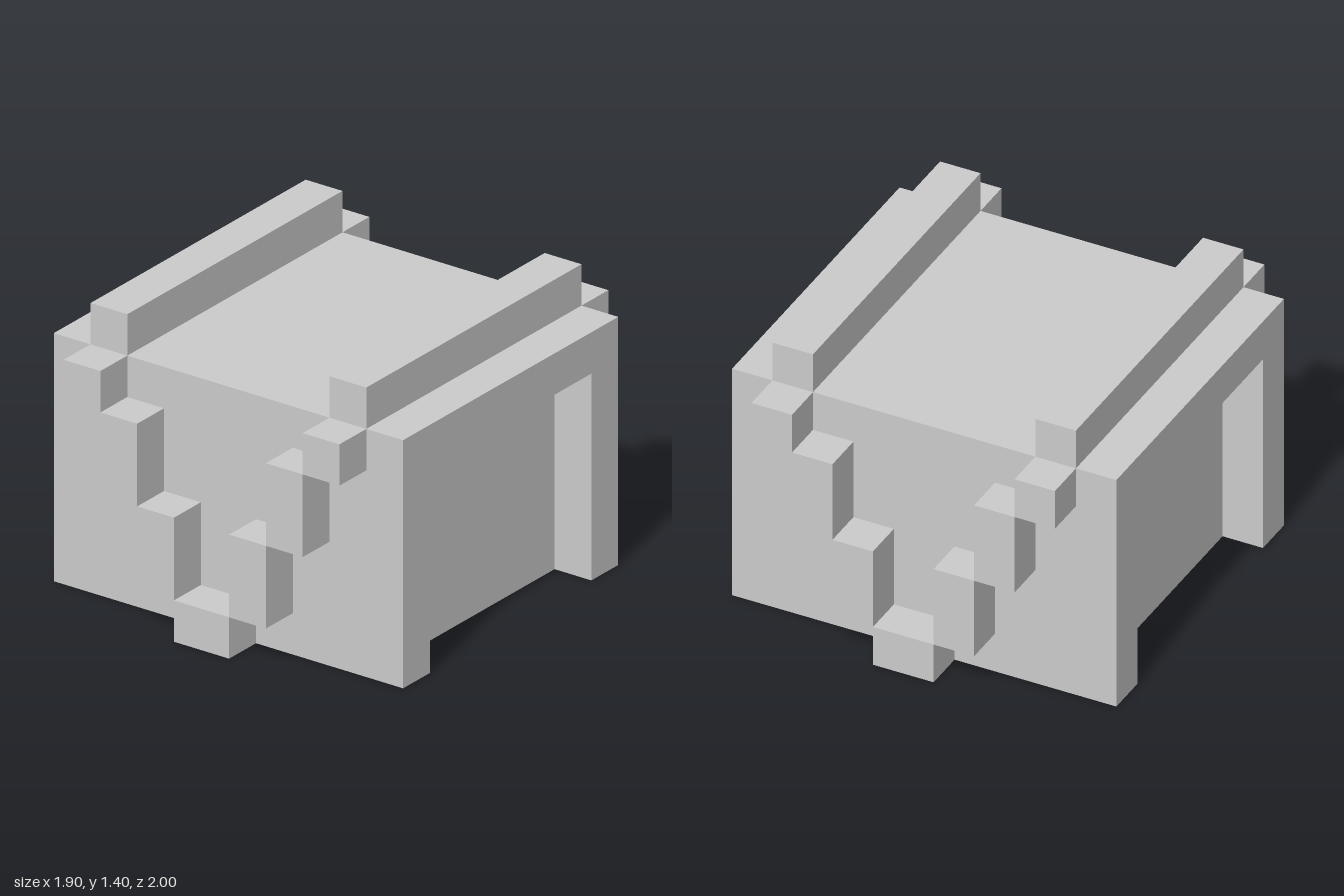
import * as THREE from 'three';

export function createModel() {
  const model = new THREE.Group();
  const material = new THREE.MeshStandardMaterial({ color: 0xcccccc, flatShading: true });

  function add(name, geometry, parent = model) {
    const mesh = new THREE.Mesh(geometry, material);
    mesh.name = name;
    parent.add(mesh);
    return mesh;
  }

  // Box given by its lower and upper limits on each axis
  function box(name, [x0, x1], [y0, y1], [z0, z1], parent) {
    const mesh = add(name, new THREE.BoxGeometry(x1 - x0, y1 - y0, z1 - z0), parent);
    mesh.position.set((x0 + x1) / 2, (y0 + y1) / 2, (z0 + z1) / 2);
  }

  // Central block
  box('body', [-0.75, 0.75], [0, 1.2], [-0.8, 0.8]);

  // Arch outline for the side frames, open at the bottom
  const arch = new THREE.Shape([
    [-0.8, 0], [-0.6, 0], [-0.6, 1], [0.6, 1],
    [0.6, 0], [0.8, 0], [0.8, 1.2], [-0.8, 1.2],
  ].map(([x, y]) => new THREE.Vector2(x, y)));
  const archGeometry = new THREE.ExtrudeGeometry(arch, { depth: 0.2, bevelEnabled: false });
  archGeometry.rotateY(Math.PI / 2);

  // Side frames and top rails
  for (const [side, s] of [['left', 1], ['right', -1]]) {
    add(side + 'SideFrame', archGeometry).position.x = s > 0 ? 0.75 : -0.95;
    box(side + 'TopRail', s > 0 ? [0.55, 0.75] : [-0.75, -0.55], [1.2, 1.4], [-0.8, 0.8]);
  }

  // Stepped V trim on the front and back: [inner x, outer x, bottom, top]
  const steps = [[0.15, 0.35, 0.2, 0.6], [0.35, 0.55, 0.6, 1], [0.55, 0.75, 1, 1.2]];
  for (const [end, z] of [['front', [0.8, 1]], ['back', [-1, -0.8]]]) {
    const trim = new THREE.Group();
    trim.name = end + 'Trim';
    model.add(trim);
    box(end + 'TrimBase', [-0.15, 0.15], [0, 0.2], z, trim);
    steps.forEach(([x0, x1, y0, y1], i) => {
      box(end + 'TrimLeftStep' + (i + 1), [x0, x1], [y0, y1], z, trim);
      box(end + 'TrimRightStep' + (i + 1), [-x1, -x0], [y0, y1], z, trim);
    });
  }

  return model;
}
